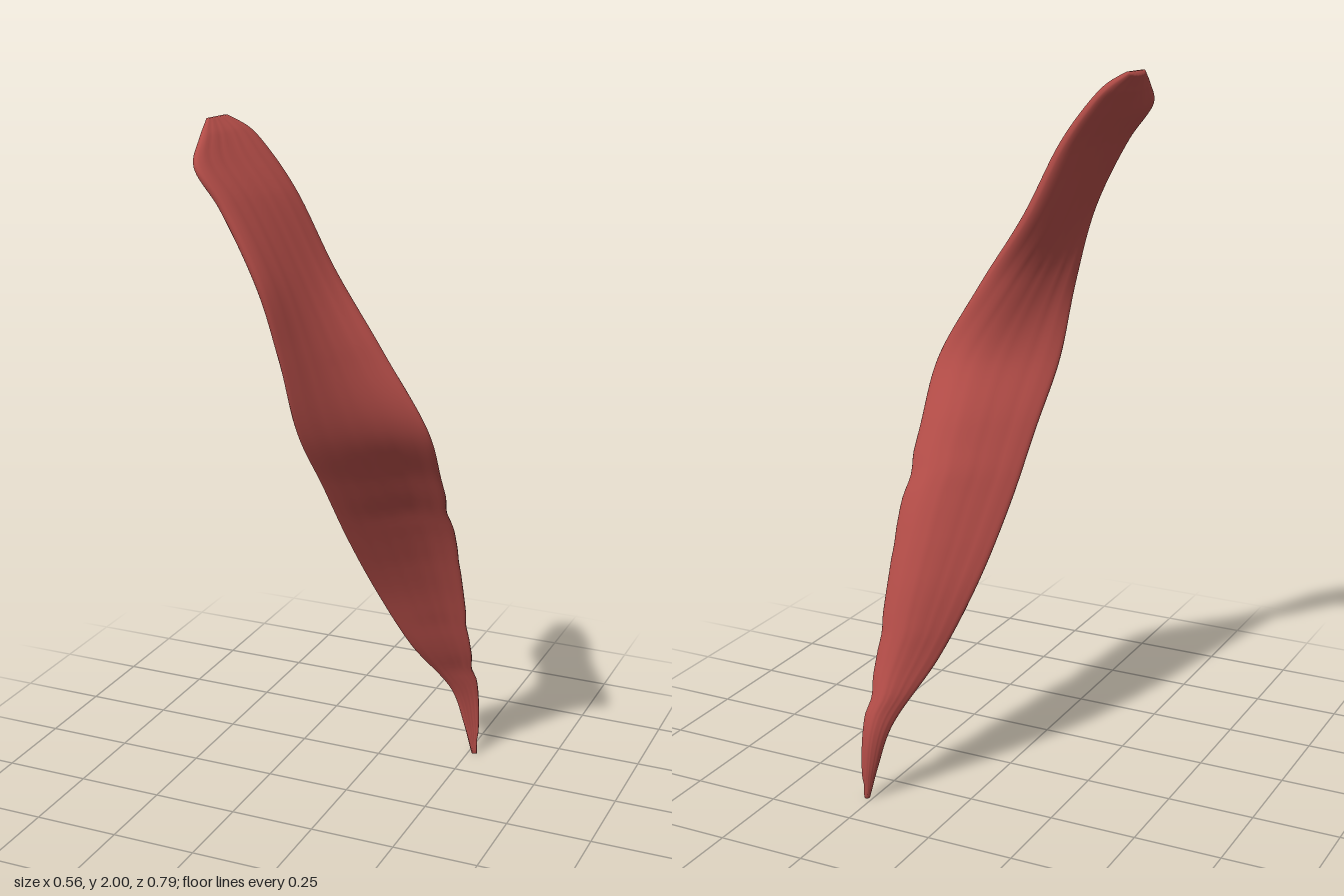
import * as THREE from 'three';

// Stations from bottom to top: y, inner edge x/z, outer edge x/z, half thickness, backward bow
const STATIONS = [
  [0.00, 0.262, -0.366, 0.276, -0.374, 0.008, 0.000],
  [0.10, 0.235, -0.362, 0.277, -0.383, 0.013, 0.002],
  [0.22, 0.202, -0.338, 0.277, -0.368, 0.018, 0.006],
  [0.40, 0.112, -0.225, 0.272, -0.298, 0.021, 0.016],
  [0.60, 0.040, -0.125, 0.272, -0.228, 0.023, 0.022],
  [0.80, 0.000, -0.005, 0.274, -0.145, 0.024, 0.026],
  [1.00, -0.022, 0.120, 0.274, -0.028, 0.025, 0.026],
  [1.18, -0.042, 0.235, 0.272, 0.082, 0.026, 0.022],
  [1.40, -0.050, 0.322, 0.150, 0.115, 0.029, 0.012],
  [1.60, -0.078, 0.380, 0.015, 0.116, 0.028, 0.005],
  [1.80, -0.175, 0.390, -0.085, 0.132, 0.026, 0.000],
  [1.90, -0.246, 0.388, -0.153, 0.142, 0.024, 0.000],
  [1.96, -0.262, 0.325, -0.205, 0.155, 0.020, 0.000],
  [2.00, -0.274, 0.262, -0.258, 0.190, 0.010, 0.000],
];
const ROWS = 130, SIDES = 48;

function createStripGeometry() {
  const inner = new THREE.CatmullRomCurve3(STATIONS.map(s => new THREE.Vector3(s[1], s[0], s[2])));
  const outer = new THREE.CatmullRomCurve3(STATIONS.map(s => new THREE.Vector3(s[3], s[0], s[4])));
  const middle = u => inner.getPoint(u).lerp(outer.getPoint(u), 0.5);
  const positions = [], indices = [];

  for (let i = 0; i <= ROWS; i++) {
    const u = i / ROWS;
    const a = inner.getPoint(u), b = outer.getPoint(u);
    // Slightly ragged outer border along the lower half
    const ragged = Math.max(0, Math.sin(Math.PI * Math.min(1, u / 0.55)));
    b.x -= 0.018 * ragged * Math.pow(Math.max(0, Math.sin(u * 57) * Math.sin(u * 23 + 1)), 2);
    const across = b.clone().sub(a);
    const along = middle(Math.min(1, u + 0.01)).sub(middle(Math.max(0, u - 0.01)));
    const normal = across.clone().cross(along).normalize();
    const f = u * (STATIONS.length - 1), k = Math.min(STATIONS.length - 2, Math.floor(f));
    const half = THREE.MathUtils.lerp(STATIONS[k][5], STATIONS[k + 1][5], f - k);
    const bow = THREE.MathUtils.lerp(STATIONS[k][6], STATIONS[k + 1][6], f - k);

    // Blunt-edged section with faint lengthwise fibres, its outer border curling forward
    for (let j = 0; j < SIDES; j++) {
      const t = j / SIDES * Math.PI * 2;
      const s = 0.5 - 0.5 * Math.cos(t);
      const sin = Math.sin(t);
      const bulge = Math.sign(sin) * Math.pow(Math.abs(sin), 0.65);
      const fibre = 1 + 0.07 * Math.sin(s * 38 + u * 5) * Math.abs(sin);
      const offset = half * (bulge * fibre - 0.35 * Math.sin(Math.PI * s))
        - bow * Math.sin(Math.PI * s * s);
      const p = a.clone().addScaledVector(across, s).addScaledVector(normal, offset);
      positions.push(p.x, THREE.MathUtils.clamp(p.y, 0, 2), p.z);
    }
  }
  for (let i = 0; i < ROWS; i++) {
    for (let j = 0; j < SIDES; j++) {
      const n = (j + 1) % SIDES;
      const p = i * SIDES + j, q = i * SIDES + n;
      indices.push(p, q, p + SIDES, q, q + SIDES, p + SIDES);
    }
  }
  // Close both tips
  const bottom = positions.length / 3, top = bottom + 1, last = ROWS * SIDES;
  positions.push(...middle(0).toArray(), ...middle(1).toArray());
  for (let j = 0; j < SIDES; j++) {
    const n = (j + 1) % SIDES;
    indices.push(bottom, n, j, top, last + j, last + n);
  }
  const geometry = new THREE.BufferGeometry();
  geometry.setAttribute('position', new THREE.Float32BufferAttribute(positions, 3));
  geometry.setIndex(indices);
  geometry.computeVertexNormals();
  return geometry;
}

export function createModel() {
  const group = new THREE.Group();
  group.name = 'muscle';
  const muscleRed = new THREE.MeshStandardMaterial({ color: 0xb24c47 });
  muscleRed.name = 'muscle red';
  const strip = new THREE.Mesh(createStripGeometry(), muscleRed);
  strip.name = 'muscleStrip';
  group.add(strip);
  return group;
}
